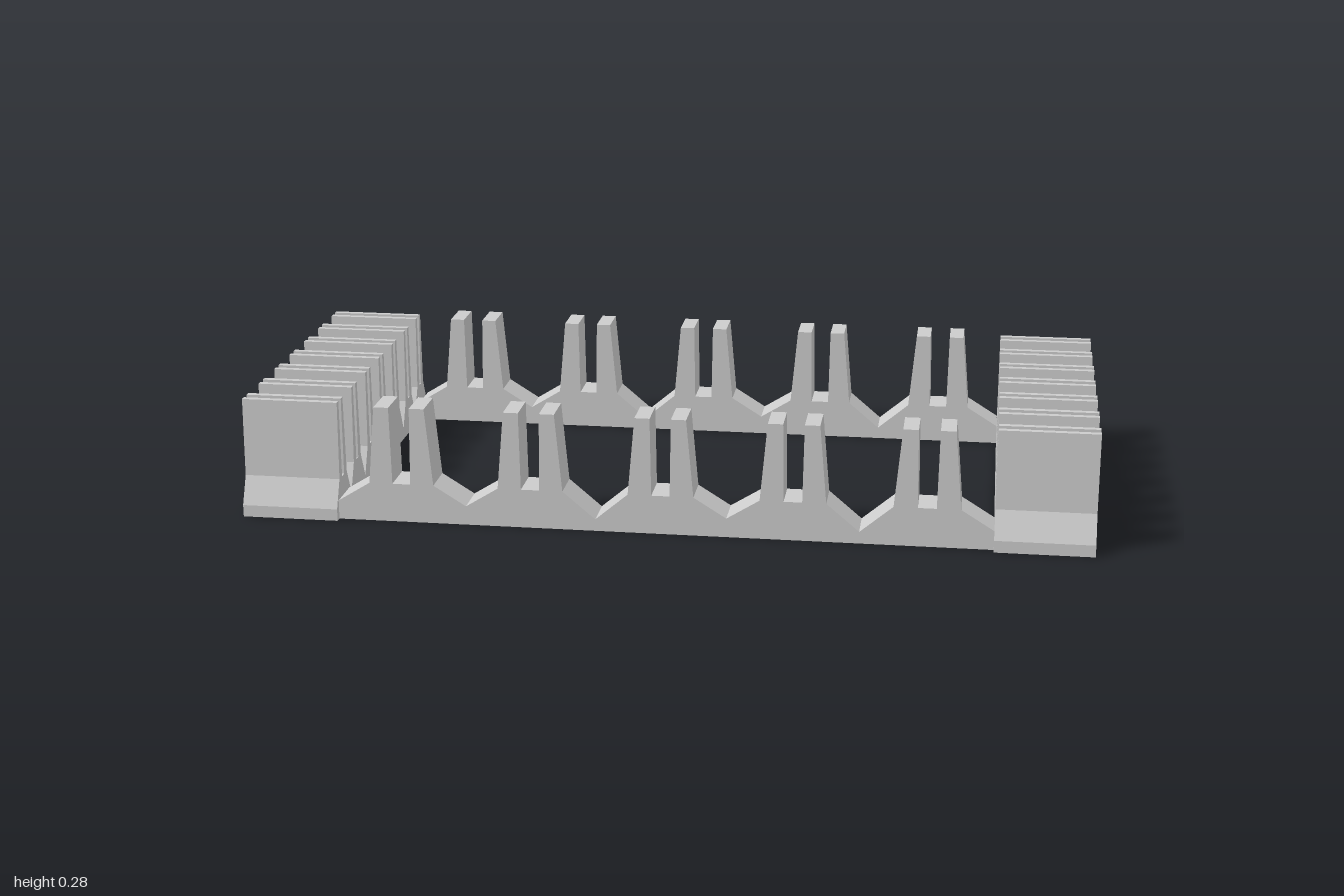
import * as THREE from 'three';

const material = new THREE.MeshStandardMaterial({ color: 0xcccccc, flatShading: true });
const HEIGHT = 0.276, SHOULDER = 0.092;

// Forked battlement: flared foot, two tapering prongs and a slot between them
function battlement(width, depth, leftTip, rightTip) {
  const at = (f, y) => new THREE.Vector2(f * width, y);
  const shape = new THREE.Shape([
    at(-0.5, 0), at(0.5, 0), at(0.5, rightTip),
    at(0.25, SHOULDER), at(0.195, HEIGHT),
    at(0.08, HEIGHT), at(0.07, SHOULDER),
    at(-0.07, SHOULDER), at(-0.08, HEIGHT),
    at(-0.195, HEIGHT), at(-0.25, SHOULDER), at(-0.5, leftTip),
  ]);
  const geometry = new THREE.ExtrudeGeometry(shape, { depth, bevelEnabled: false });
  geometry.translate(0, 0, -depth / 2);
  return geometry;
}

// Row of battlements along local x, centred on the origin
function row(name, count, length, depth, tipHeight) {
  const group = new THREE.Group();
  group.name = name;
  const width = length / count;
  for (let i = 0; i < count; i++) {
    const mesh = new THREE.Mesh(battlement(width, depth, tipHeight(i), tipHeight(i + 1)), material);
    mesh.name = 'battlement';
    mesh.position.x = (i + 0.5) * width - length / 2;
    group.add(mesh);
  }
  return group;
}

export function createModel() {
  const model = new THREE.Group();
  model.name = 'battlementFrame';

  // The rectangular frame stands diagonally
  const frame = new THREE.Group();
  frame.name = 'frame';
  frame.rotation.y = -Math.PI / 4;
  model.add(frame);

  // Thin long walls, with deeper notches where two pieces meet
  const wallTip = (i) => (i === 2 || i === 4 ? 0.028 : 0.045);
  for (const [name, z] of [['frontWall', 0.37], ['backWall', -0.4]]) {
    const wall = row(name, 5, 1.514, 0.09, wallTip);
    wall.position.z = z;
    frame.add(wall);
  }

  // Thick end walls with narrow battlements
  for (const [name, side] of [['leftEndWall', 1], ['rightEndWall', -1]]) {
    const end = row(name, 7, 0.862, 0.226, () => 0.028);
    end.rotation.y = side * Math.PI / 2;
    end.position.x = side * 0.87;
    frame.add(end);
  }
  return model;
}
